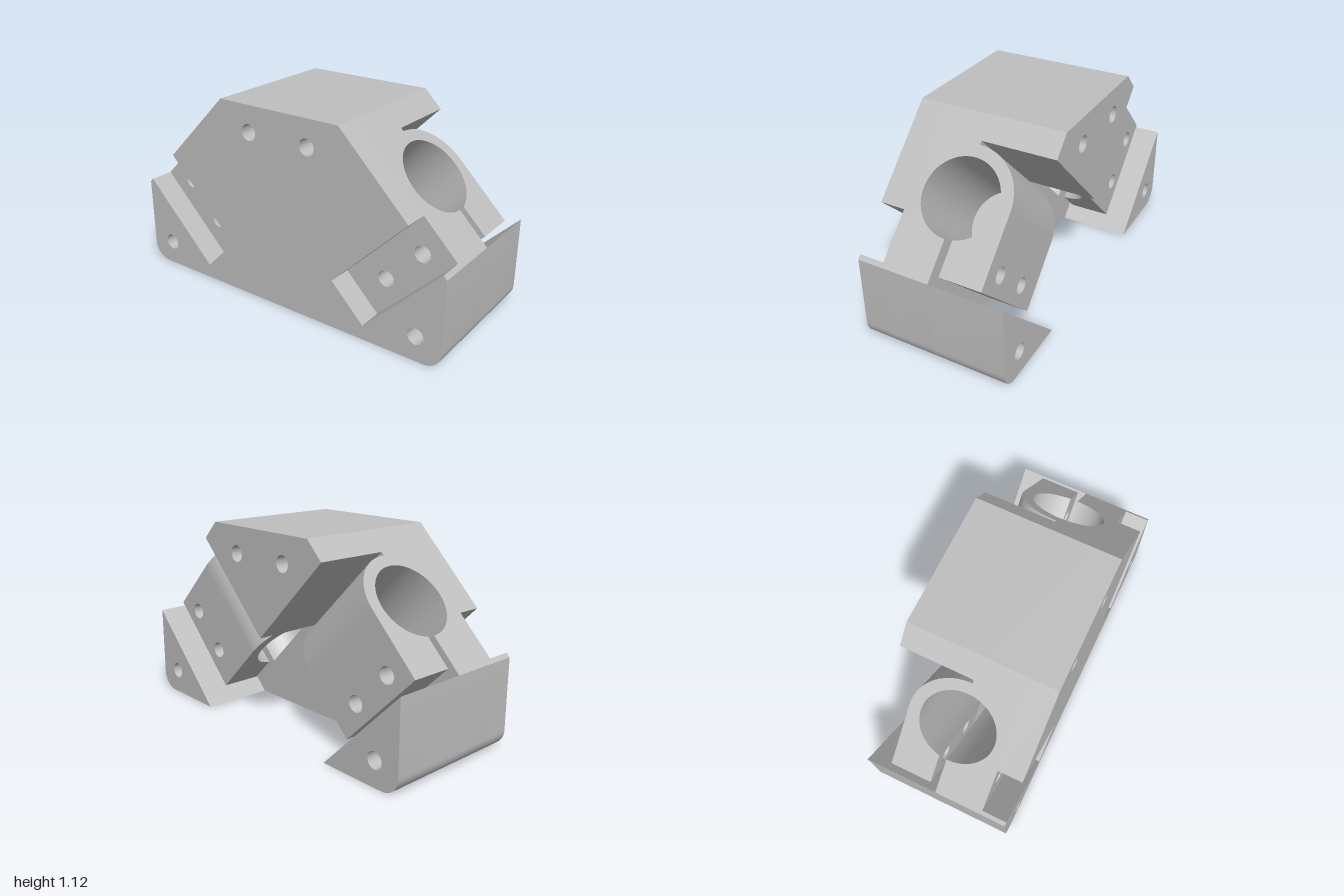
import * as THREE from 'three';
import { toCreasedNormals } from 'three/addons/utils/BufferGeometryUtils.js';

const S = Math.SQRT1_2;
const DEPTH = 0.62;      // length of the bores, clamps and pockets, square to the slope
const BORE = 0.21, RING = 0.276, CORE = 0.22;
const HOLE = 0.046;
const BACK = -0.41, POCKET = 0.27, FRONT = 0.41;

// Point on the right-hand slope: u runs down the slope from the bore axis, d runs into the block
const onSlope = (u, d) => [0.69 + (u - d) * S, 0.81 - (u + d) * S];
const flip = ([x, y]) => [-x, y];

function shapeFrom(points, holes = []) {
  const shape = new THREE.Shape(points.map(([x, y]) => new THREE.Vector2(x, y)));
  for (const [x, y] of holes) {
    shape.holes.push(new THREE.Path().absarc(x, y, HOLE, 0, Math.PI * 2, true));
  }
  return shape;
}

function extrude(shape, depth) {
  const g = new THREE.ExtrudeGeometry(shape, { depth, bevelEnabled: false, curveSegments: 32 });
  return toCreasedNormals(g, 0.6);
}

const layer = (points, holes, z0, z1) => extrude(shapeFrom(points, holes), z1 - z0).translate(0, 0, z0);

// Extrusion square to the slope; shape x = down the slope, shape y = towards the back
function slopeExtrude(shape) {
  const [x, y] = onSlope(0, DEPTH);
  const m = new THREE.Matrix4().makeBasis(
    new THREE.Vector3(S, -S, 0), new THREE.Vector3(0, 0, -1), new THREE.Vector3(S, S, 0));
  return extrude(shape, DEPTH).applyMatrix4(m.setPosition(x, y, 0));
}

// Mirrored copy in x with corner order restored
function mirrored(geometry) {
  const g = geometry.clone().scale(-1, 1, 1);
  const index = [];
  for (let i = 0; i < g.attributes.position.count; i += 3) index.push(i, i + 2, i + 1);
  g.setIndex(index);
  return g;
}

export function createModel() {
  const model = new THREE.Group();
  model.name = 'clampBlock';
  const grey = new THREE.MeshStandardMaterial({ color: 0xbebebe });
  grey.name = 'grey';

  const add = (name, geometry) => {
    const mesh = new THREE.Mesh(geometry, grey);
    mesh.name = name;
    model.add(mesh);
  };
  const addPair = (name, geometry) => {
    add(name + 'Left', geometry);
    add(name + 'Right', mirrored(geometry));
  };

  // Rounded lower corner
  const corner = [];
  for (let i = 0; i <= 10; i++) {
    const a = (i / 10 - 1) * Math.PI / 2;
    corner.push([0.9 + 0.1 * Math.cos(a), 0.1 + 0.1 * Math.sin(a)]);
  }

  // Full outline with a rectangular notch u0..u1 in both slopes
  const outline = (u0, u1) => {
    const half = [...corner, [1, 0.5], onSlope(u1, 0), onSlope(u1, DEPTH),
      onSlope(u0, DEPTH), onSlope(u0, 0), [0.38, 1.12]];
    return [...half, ...half.map(flip).reverse()];
  };

  const topHoles = [[0.19, 0.97], [-0.19, 0.97]];
  const cornerHole = [0.85, 0.14];
  const boltHoles = [onSlope(0.283, 0.141), onSlope(0.283, 0.428)];
  const fixedHoles = [...topHoles, cornerHole, flip(cornerHole)];

  // Front plate with the bolt pockets, and the body behind it
  add('frontPlate', layer(outline(0.134, 0.41), fixedHoles, POCKET, FRONT));
  add('body', layer(outline(-CORE, CORE),
    [...fixedHoles, ...boltHoles, ...boltHoles.map(flip)], 0, POCKET));

  // Half-round bore seats filling the body notches
  const seat = new THREE.Shape();
  seat.moveTo(-CORE, 0);
  seat.lineTo(-CORE, -POCKET);
  seat.lineTo(CORE, -POCKET);
  seat.lineTo(CORE, 0);
  seat.lineTo(BORE, 0);
  seat.absarc(0, 0, BORE, 0, -Math.PI, true);
  addPair('boreSeat', slopeExtrude(seat));

  // Upper middle block at the back
  add('rearTopBlock', layer(
    [[-0.38, 1.12], [-0.48, 1.02], [0, 0.54], [0.48, 1.02], [0.38, 1.12]], topHoles, BACK, 0));

  // Lower corner wedges at the back
  addPair('rearCornerWedge', layer([[0.5, 0], ...corner, [1, 0.5]], [cornerHole], BACK, 0));

  // Curved clamp arms, open by a slot at the lower side
  const SLOT = 0.042;
  const slotAngle = Math.asin(SLOT / BORE);
  const arm = new THREE.Shape();
  arm.moveTo(-RING, 0);
  arm.absarc(0, 0, RING, Math.PI, Math.PI / 2, true);
  arm.lineTo(CORE, RING);
  arm.lineTo(CORE, SLOT);
  arm.lineTo(BORE * Math.cos(slotAngle), SLOT);
  arm.absarc(0, 0, BORE, slotAngle, Math.PI, false);
  addPair('clampArm', slopeExtrude(arm));

  // Clamp lugs with their bolt holes
  const END = 0.39;
  addPair('clampLug', layer(
    [onSlope(CORE, 0), onSlope(CORE, DEPTH), onSlope(END, DEPTH), onSlope(END, 0)],
    boltHoles, -RING, -SLOT));

  return model;
}
